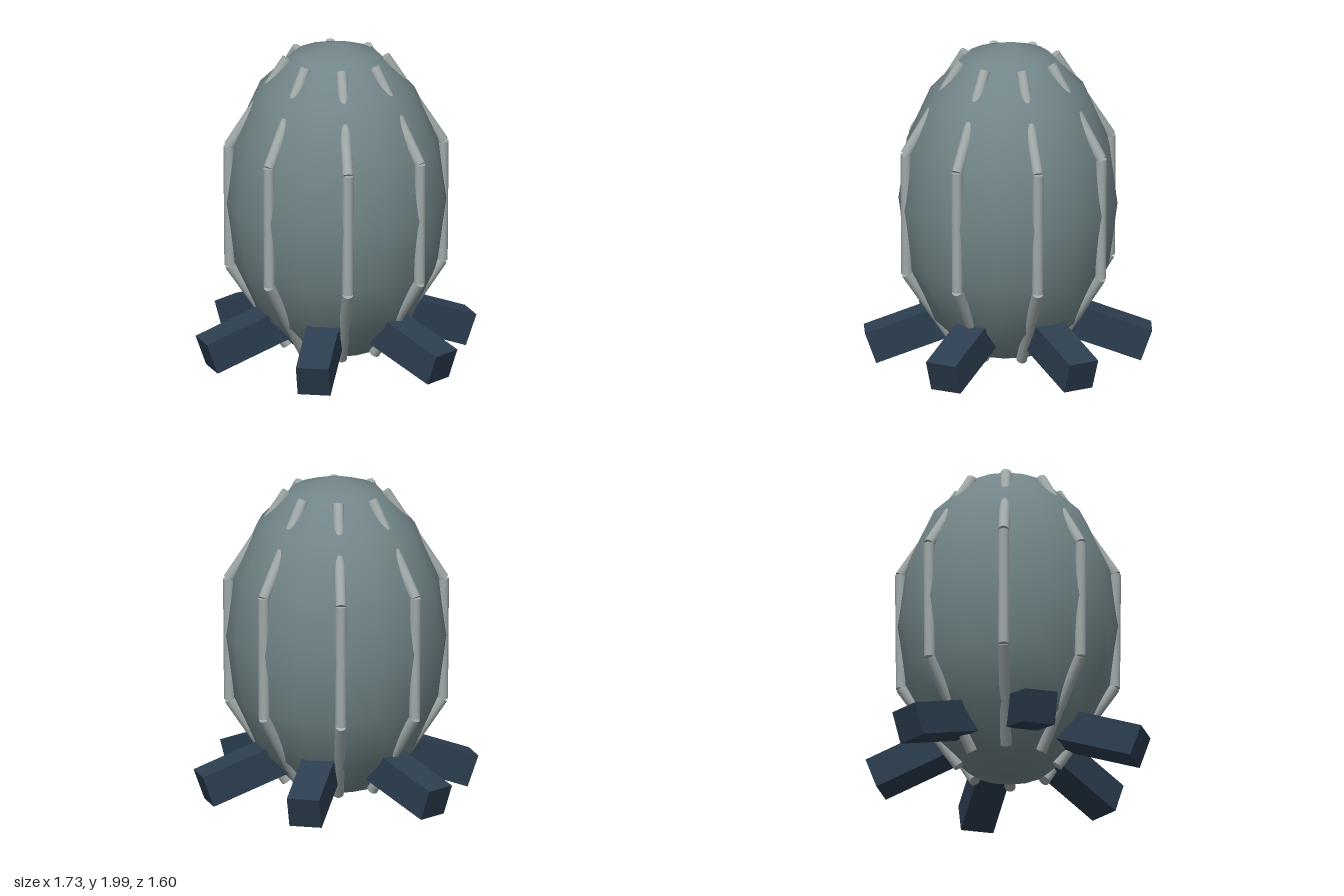
import * as THREE from 'three';

const mat = (color) => new THREE.MeshStandardMaterial({ color });

// Round rod running between two points
function rod(a, b, radius, material) {
  const dir = new THREE.Vector3().subVectors(b, a);
  const mesh = new THREE.Mesh(new THREE.CylinderGeometry(radius, radius, dir.length(), 16), material);
  mesh.position.addVectors(a, b).multiplyScalar(0.5);
  mesh.quaternion.setFromUnitVectors(new THREE.Vector3(0, 1, 0), dir.normalize());
  return mesh;
}

export function createModel() {
  const model = new THREE.Group();
  const shellMat = mat(0x728588);
  const ribMat = mat(0xa0a8a8);
  const legMat = mat(0x2c3e50);

  // Egg-shaped shell, slightly narrower front to back
  const shell = new THREE.Mesh(new THREE.SphereGeometry(1, 16, 8), shellMat);
  shell.name = 'shell';
  shell.scale.set(0.68, 0.995, 0.66);
  shell.position.y = 1.005;
  model.add(shell);

  // Eight ribs, each of three straight rods half sunk into the shell
  const ribs = new THREE.Group();
  ribs.name = 'ribs';
  ribs.scale.z = 0.97;
  const bends = [[0.3, 1.9], [0.658, 1.357], [0.652, 0.605], [0.3, 0.09]]
    .map(([x, y]) => new THREE.Vector3(x, y, 0));
  for (let i = 0; i < 8; i++) {
    const rib = new THREE.Group();
    rib.name = 'rib';
    for (let k = 0; k < 3; k++) {
      const part = rod(bends[k], bends[k + 1], 0.034, ribMat);
      part.name = ['upperRib', 'middleRib', 'lowerRib'][k];
      rib.add(part);
    }
    rib.rotation.y = (i * Math.PI) / 4;
    ribs.add(rib);
  }
  model.add(ribs);

  // Six block legs splayed outward and tilted down by 20 degrees
  const tilt = THREE.MathUtils.degToRad(20);
  const length = 0.6;
  for (let i = 0; i < 6; i++) {
    const leg = new THREE.Group();
    leg.name = 'leg';
    const block = new THREE.Mesh(new THREE.BoxGeometry(length, 0.2, 0.2), legMat);
    block.name = 'legBlock';
    block.rotation.z = -tilt;
    block.position.set(
      0.833 - (length / 2) * Math.cos(tilt), 0.11 + (length / 2) * Math.sin(tilt), 0);
    leg.add(block);
    leg.rotation.y = (i * Math.PI) / 3;
    model.add(leg);
  }
  return model;
}
